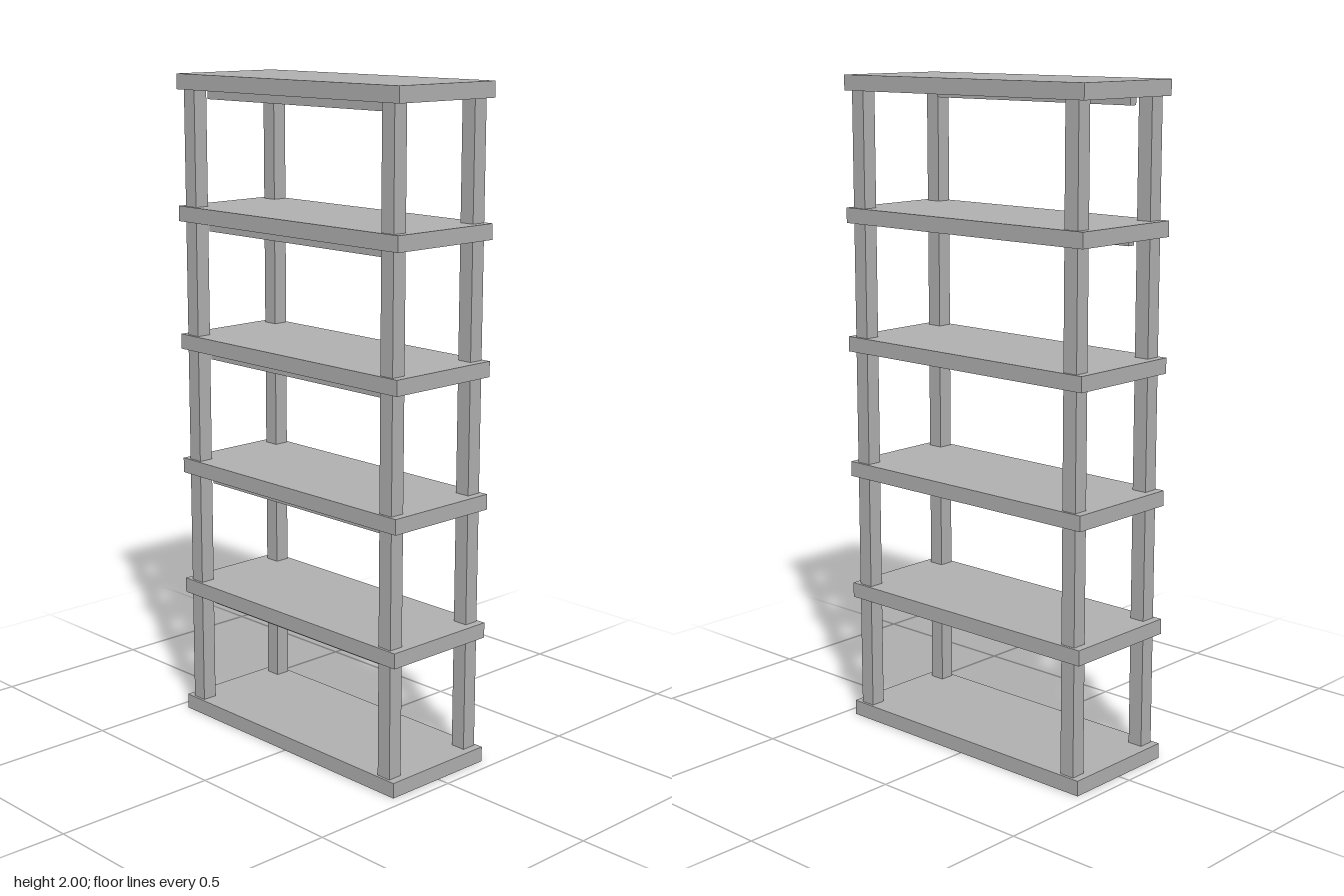
import * as THREE from 'three';

export function createModel() {
  const group = new THREE.Group();
  const grey = new THREE.MeshStandardMaterial({ color: 0xb0b0b0 });
  grey.name = 'grey';

  const box = (name, w, h, d, x, y, z) => {
    const mesh = new THREE.Mesh(new THREE.BoxGeometry(w, h, d), grey);
    mesh.name = name;
    mesh.position.set(x, y, z);
    group.add(mesh);
  };

  const levels = 6, thick = 0.046;
  const step = (2 - thick) / (levels - 1);
  const gap = step - thick;

  for (let i = 0; i < levels; i++) {
    const bottom = i * step;
    // shelf board
    box('shelf', 0.924, thick, 0.374, 0, bottom + thick / 2, 0);

    // front rail under every raised shelf
    if (i > 0) box('frontRail', 0.75, 0.027, 0.025, 0, bottom - 0.0135, 0.128);

    // four posts up to the next shelf
    if (i < levels - 1) {
      for (const sx of [-1, 1]) for (const sz of [-1, 1]) {
        box('post', 0.047, gap, 0.046, sx * 0.414, bottom + thick + gap / 2, sz * 0.156);
      }
    }
  }
  return group;
}
